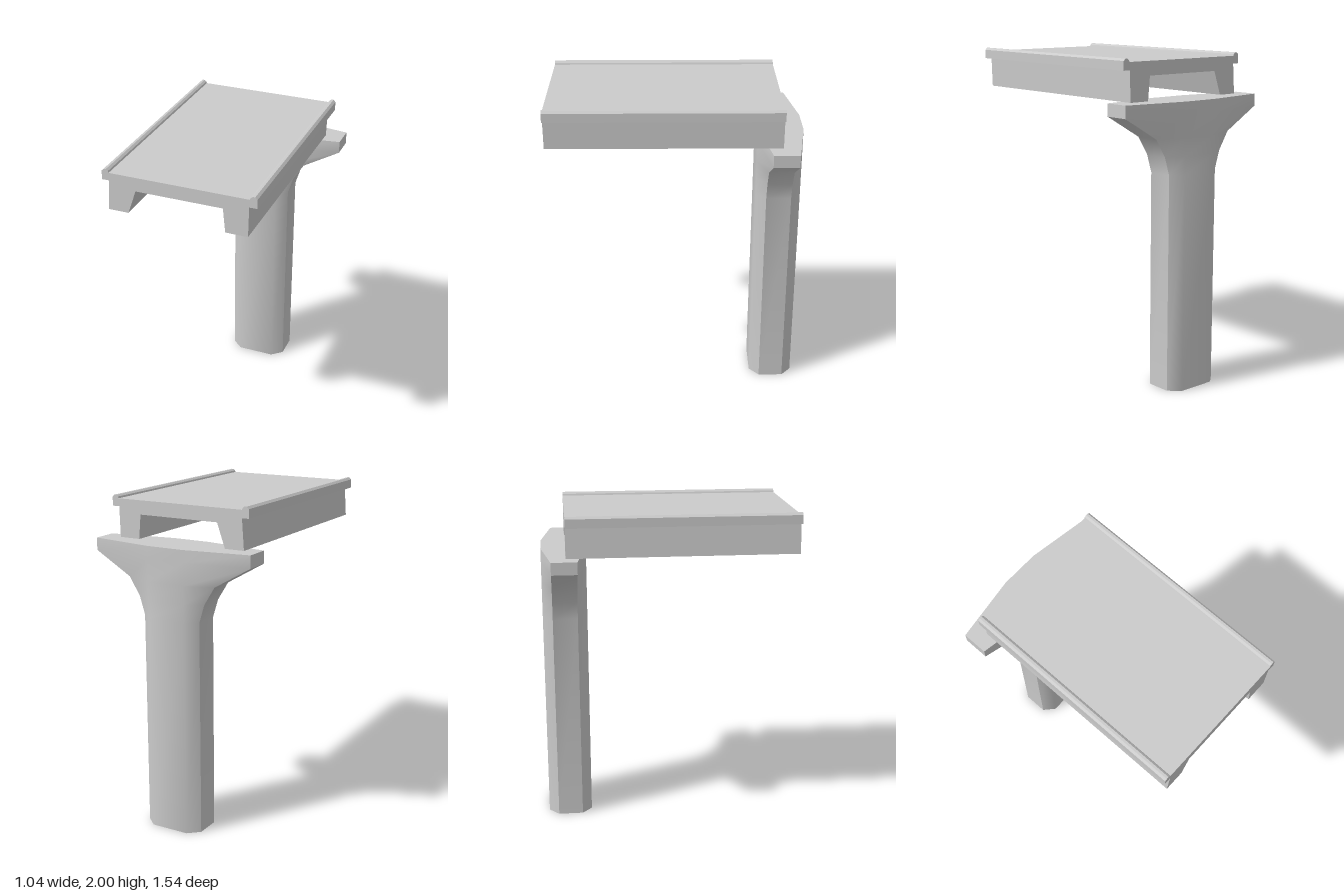
import * as THREE from 'three';
import { toCreasedNormals } from 'three/addons/utils/BufferGeometryUtils.js';

const material = new THREE.MeshStandardMaterial({ color: 0xcccccc });

// Pier: octagonal sections stacked along y, flaring sideways into the cap
function pierGeometry() {
  const levels = [
    [0, 0.188], [1.32, 0.188], [1.43, 0.222],
    [1.54, 0.29], [1.675, 0.522], [1.75, 0.522],
  ]; // [height, half width]
  const flat = 0.12, zFace = 0.138, zSide = 0.077;
  const positions = [];
  const index = [];
  for (const [y, w] of levels) {
    const ring = [
      [-flat, zFace], [flat, zFace], [w, zSide], [w, -zSide],
      [flat, -zFace], [-flat, -zFace], [-w, -zSide], [-w, zSide],
    ];
    for (const [x, z] of ring) positions.push(x, y, z);
  }
  const n = 8;
  const last = (levels.length - 1) * n;
  for (let l = 0; l < levels.length - 1; l++) {
    for (let i = 0; i < n; i++) {
      const a = l * n + i, b = l * n + (i + 1) % n;
      index.push(a, b, b + n, a, b + n, a + n);
    }
  }
  // Bottom and top caps
  for (let i = 1; i < n - 1; i++) {
    index.push(0, i + 1, i);
    index.push(last, last + i, last + i + 1);
  }
  const geometry = new THREE.BufferGeometry();
  geometry.setAttribute('position', new THREE.Float32BufferAttribute(positions, 3));
  geometry.setIndex(index);
  return toCreasedNormals(geometry, THREE.MathUtils.degToRad(45));
}

// Deck: slab, two girders and kerbs as one section, extruded along z
function deckGeometry() {
  const kerb = [
    [0.418, 1.98], [0.422, 1.99], [0.434, 2], [0.448, 2], [0.461, 1.987], [0.461, 1.933],
  ];
  const section = [
    ...kerb,
    // left girder
    [0.415, 1.933], [0.41, 1.75], [0.277, 1.75], [0.264, 1.896],
    // right girder
    [-0.257, 1.896], [-0.308, 1.75], [-0.431, 1.75], [-0.418, 1.933],
    ...kerb.map(([x, y]) => [-x, y]).reverse(),
  ];
  const shape = new THREE.Shape(section.map(([x, y]) => new THREE.Vector2(x, y)));
  const geometry = new THREE.ExtrudeGeometry(shape, { depth: 1.392, bevelEnabled: false });
  return geometry.translate(0, 0, -0.622);
}

export function createModel() {
  const model = new THREE.Group();
  model.name = 'bridgeSection';

  const pier = new THREE.Mesh(pierGeometry(), material);
  pier.name = 'pier';
  pier.position.z = -0.632;

  const deck = new THREE.Mesh(deckGeometry(), material);
  deck.name = 'deck';

  model.add(pier, deck);
  return model;
}
